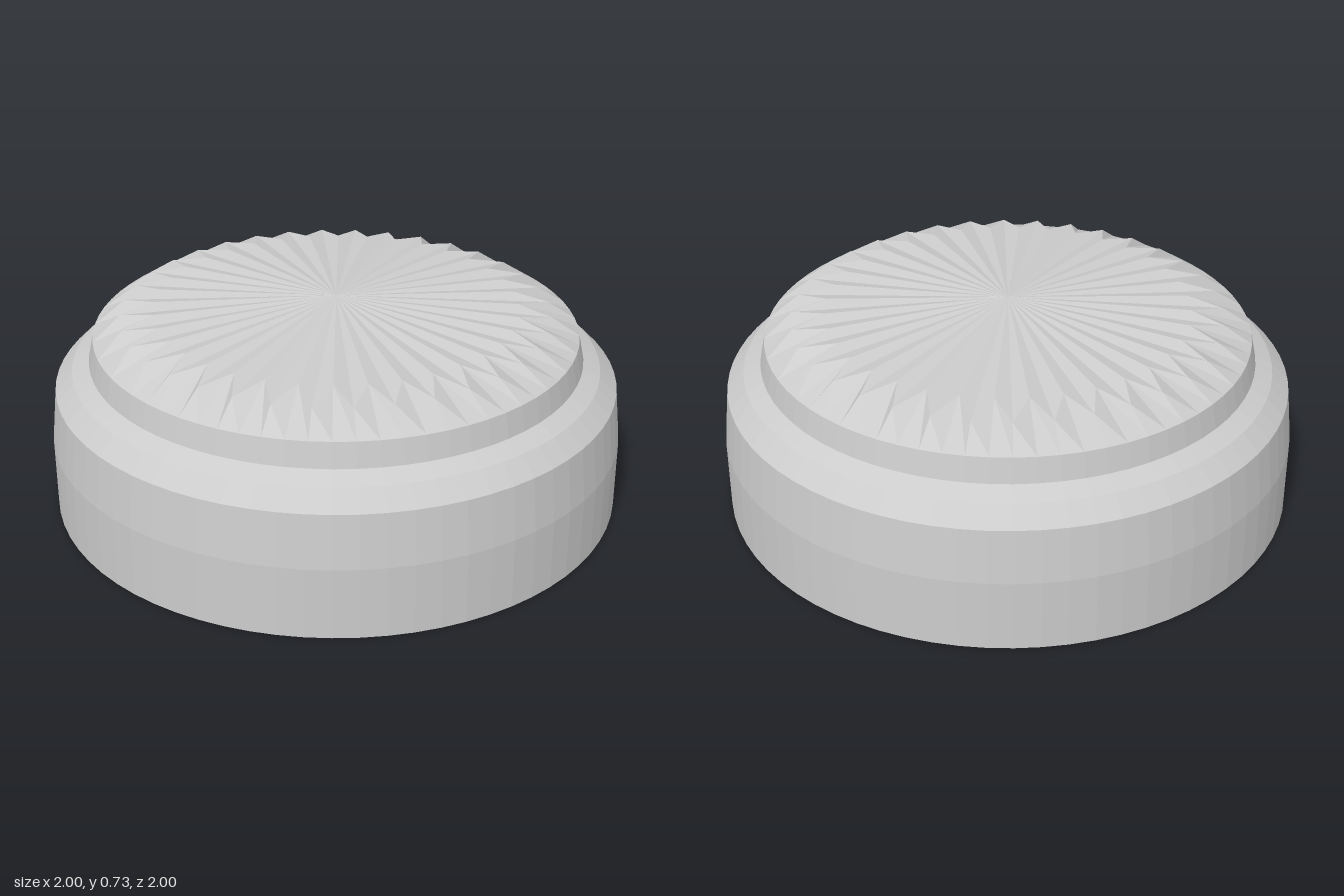
import * as THREE from 'three';

const SEGMENTS = 72;

const toPoints = (pairs) => pairs.map(([r, y]) => new THREE.Vector2(r, y));

// Round lower housing with a stepped shoulder and short collar
function bodyGeometry() {
  return new THREE.LatheGeometry(toPoints([
    [0, 0], [1, 0], [1, 0.25], [0.98, 0.435],
    [0.92, 0.495], [0.86, 0.525], [0.842, 0.61],
  ]), SEGMENTS);
}

// Shallow dome whose edge zigzags between outer tips and inner peaks
function crownGeometry() {
  const profile = toPoints([[0.842, 0.61], [0.745, 0.675], [0, 0.725]]);
  const geometry = new THREE.LatheGeometry(profile, SEGMENTS);
  const position = geometry.attributes.position;
  for (let i = 1; i < SEGMENTS; i += 2) {
    const angle = (i / SEGMENTS) * Math.PI * 2;
    position.setXYZ(i * profile.length + 1, 0.63 * Math.sin(angle), 0.696, 0.63 * Math.cos(angle));
  }
  geometry.computeVertexNormals();
  return geometry;
}

export function createModel() {
  const group = new THREE.Group();
  group.name = 'flutedCap';
  const material = new THREE.MeshStandardMaterial({ color: 0xcccccc, flatShading: true });

  const body = new THREE.Mesh(bodyGeometry(), material);
  body.name = 'body';
  const crown = new THREE.Mesh(crownGeometry(), material);
  crown.name = 'facetedCrown';

  group.add(body, crown);
  return group;
}
